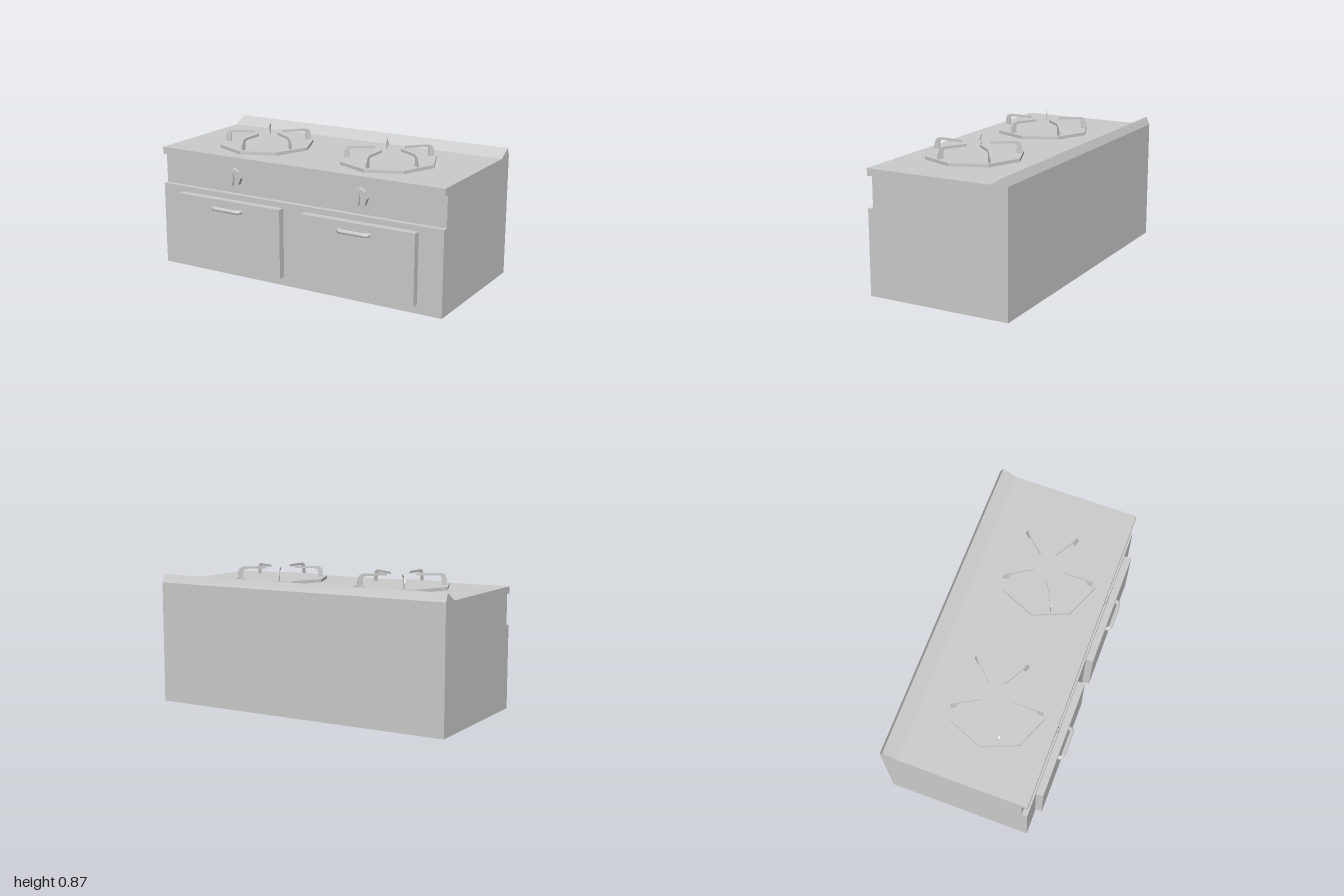
import * as THREE from 'three';

const material = new THREE.MeshStandardMaterial({ color: 0xcccccc, flatShading: true });

function add(parent, name, geometry, x = 0, y = 0, z = 0) {
  const mesh = new THREE.Mesh(geometry, material);
  mesh.name = name;
  mesh.position.set(x, y, z);
  parent.add(mesh);
  return mesh;
}

// Extrudes a (z, y) side profile across x, centred on x = 0
function sideExtrude(points, width) {
  const shape = new THREE.Shape(points.map(([z, y]) => new THREE.Vector2(-z, y)));
  const geometry = new THREE.ExtrudeGeometry(shape, { depth: width, bevelEnabled: false });
  return geometry.translate(0, 0, -width / 2).rotateY(Math.PI / 2);
}

// Octagonal burner plate with five hooked pan supports
function createBurner(x) {
  const burner = new THREE.Group();
  burner.name = 'burner';
  burner.position.set(x, 0.775, 0.032);
  add(burner, 'burnerPlate', new THREE.CylinderGeometry(0.306, 0.306, 0.02, 8), 0, 0.01, 0);

  const arm = sideExtrude([
    [0, 0.018], [0, 0.055], [-0.012, 0.083], [-0.034, 0.093], [-0.188, 0.093],
    [-0.188, 0.078], [-0.055, 0.078], [-0.036, 0.071], [-0.035, 0.05], [-0.035, 0.018],
  ], 0.008);
  // Outer foot x, z and heading in degrees
  const arms = [
    [0, 0.285, 0], [0.253, 0.102, 60], [0.196, -0.219, 137.5],
    [-0.141, -0.246, -149], [-0.252, 0.107, -62],
  ];
  for (const [ax, az, angle] of arms) {
    add(burner, 'panSupport', arm, ax, 0, az).rotation.y = THREE.MathUtils.degToRad(angle);
  }
  return burner;
}

// Octagonal knob with a raised oval grip
function createKnob(x) {
  const knob = new THREE.Group();
  knob.name = 'knob';
  knob.position.set(x, 0.64, 0.385);
  add(knob, 'knobDisc', new THREE.CylinderGeometry(0.059, 0.059, 0.026, 8).rotateX(Math.PI / 2), 0, 0, 0.013);
  const grip = new THREE.CylinderGeometry(0.05, 0.05, 0.042, 12).rotateX(Math.PI / 2).scale(0.27, 1, 1);
  add(knob, 'knobGrip', grip, 0, 0, 0.021);
  return knob;
}

// Oven door with a bent bar handle
function createDoor(x) {
  const door = new THREE.Group();
  door.name = 'ovenDoor';
  door.position.x = x;
  add(door, 'doorPanel', new THREE.BoxGeometry(0.765, 0.442, 0.046), 0, 0.279, 0.443);
  const points = [[-0.1, 0.46], [-0.099, 0.474], [-0.09, 0.485], [-0.075, 0.489]];
  const path = new THREE.CurvePath();
  const all = [...points, ...points.map(([px, pz]) => [-px, pz]).reverse()]
    .map(([px, pz]) => new THREE.Vector3(px, 0, pz));
  for (let i = 1; i < all.length; i++) path.add(new THREE.LineCurve3(all[i - 1], all[i]));
  add(door, 'doorHandle', new THREE.TubeGeometry(path, 48, 0.014, 8), 0, 0.443, 0);
  return door;
}

export function createModel() {
  const model = new THREE.Group();
  model.name = 'stove';

  // Body with recessed control strip and sloped rear splash guard
  add(model, 'body', sideExtrude([
    [0.42, 0], [0.42, 0.535], [0.385, 0.535], [0.385, 0.73], [0.42, 0.73], [0.42, 0.775],
    [-0.395, 0.775], [-0.482, 0.826], [-0.505, 0.775], [-0.505, 0],
  ], 2));

  for (const x of [-0.453, 0.437]) model.add(createBurner(x));
  for (const x of [-0.461, 0.44]) model.add(createKnob(x));
  for (const x of [-0.462, 0.458]) model.add(createDoor(x));
  // Handles sit slightly off the door centres
  model.traverse((part) => {
    if (part.name === 'doorHandle') part.position.x = part.parent.position.x < 0 ? -0.006 : -0.016;
  });
  return model;
}
